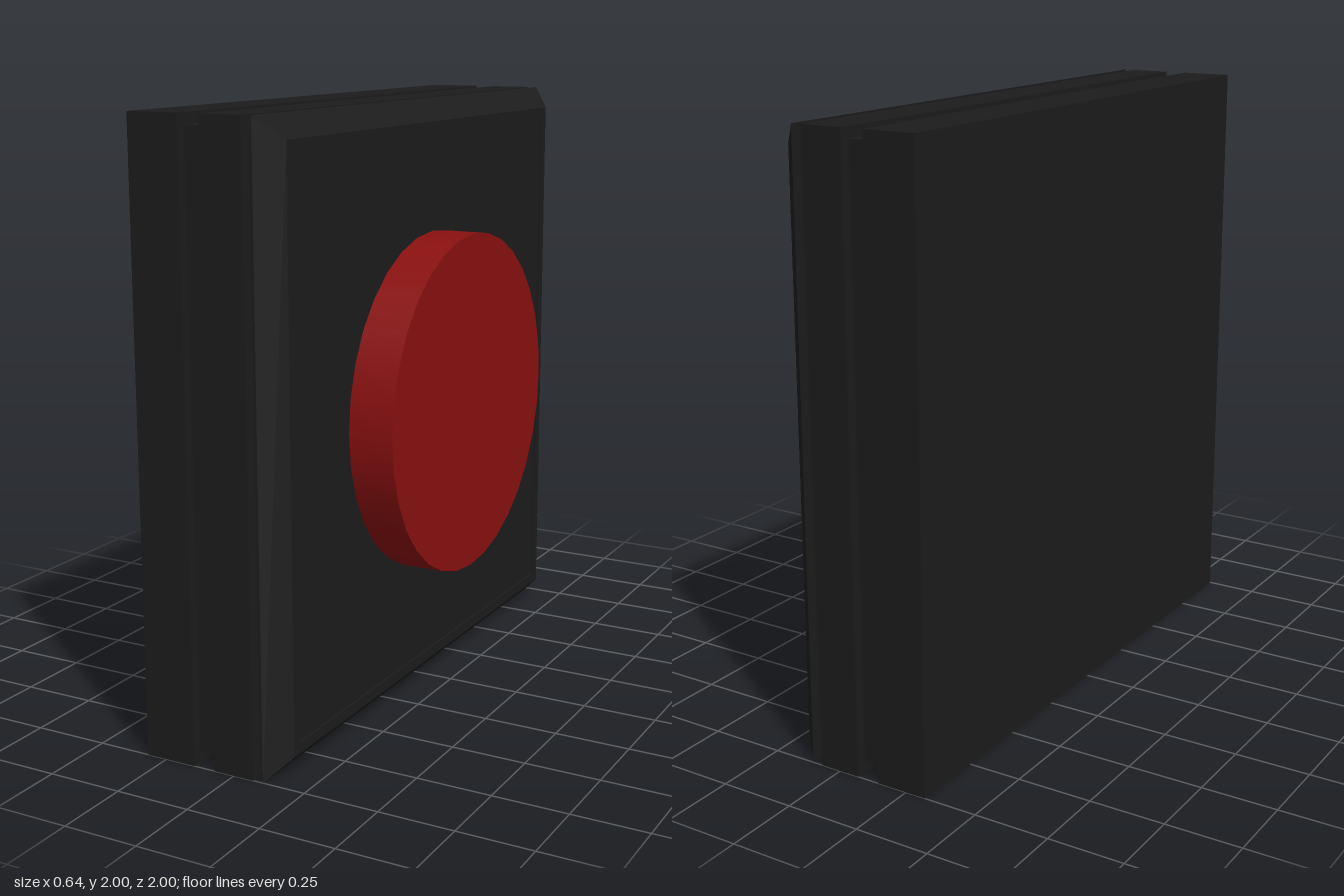
import * as THREE from 'three';

const black = new THREE.MeshStandardMaterial({ color: 0x1c1c1c, flatShading: true });
const red = new THREE.MeshStandardMaterial({ color: 0x8a1010 });

// Square solid along x from a profile of [half width, x] pairs
function squareSolid(name, profile) {
  const points = profile.map(([half, x]) => new THREE.Vector2(half * Math.SQRT2, x));
  const geometry = new THREE.LatheGeometry(points, 4, Math.PI / 4);
  geometry.rotateZ(-Math.PI / 2);
  const mesh = new THREE.Mesh(geometry, black);
  mesh.name = name;
  mesh.position.y = 1;
  return mesh;
}

// Plain square slab between two x positions
const slab = (name, half, x0, x1) =>
  squareSolid(name, [[0, x0], [half, x0], [half, x1], [0, x1]]);

export function createModel() {
  const group = new THREE.Group();
  group.name = 'squarePushButton';

  // Stacked housing with narrower layers forming the grooves
  group.add(
    slab('backPlate', 1, -0.32, -0.145),
    slab('wideGroove', 0.965, -0.145, -0.07),
    slab('middlePlate', 1, -0.07, 0.07),
    slab('narrowGroove', 0.96, 0.07, 0.105),
  );

  // Bevelled face plate with a shallow recessed panel
  group.add(squareSolid('facePlate', [
    [0, 0.105], [1, 0.105], [0.93, 0.175], [0.895, 0.175], [0.895, 0.168], [0, 0.168],
  ]));

  // Round button cap
  const capGeometry = new THREE.CylinderGeometry(0.57, 0.57, 0.155, 32);
  capGeometry.rotateZ(-Math.PI / 2);
  const cap = new THREE.Mesh(capGeometry, red);
  cap.name = 'buttonCap';
  cap.position.set(0.2425, 1, 0);
  group.add(cap);

  return group;
}
